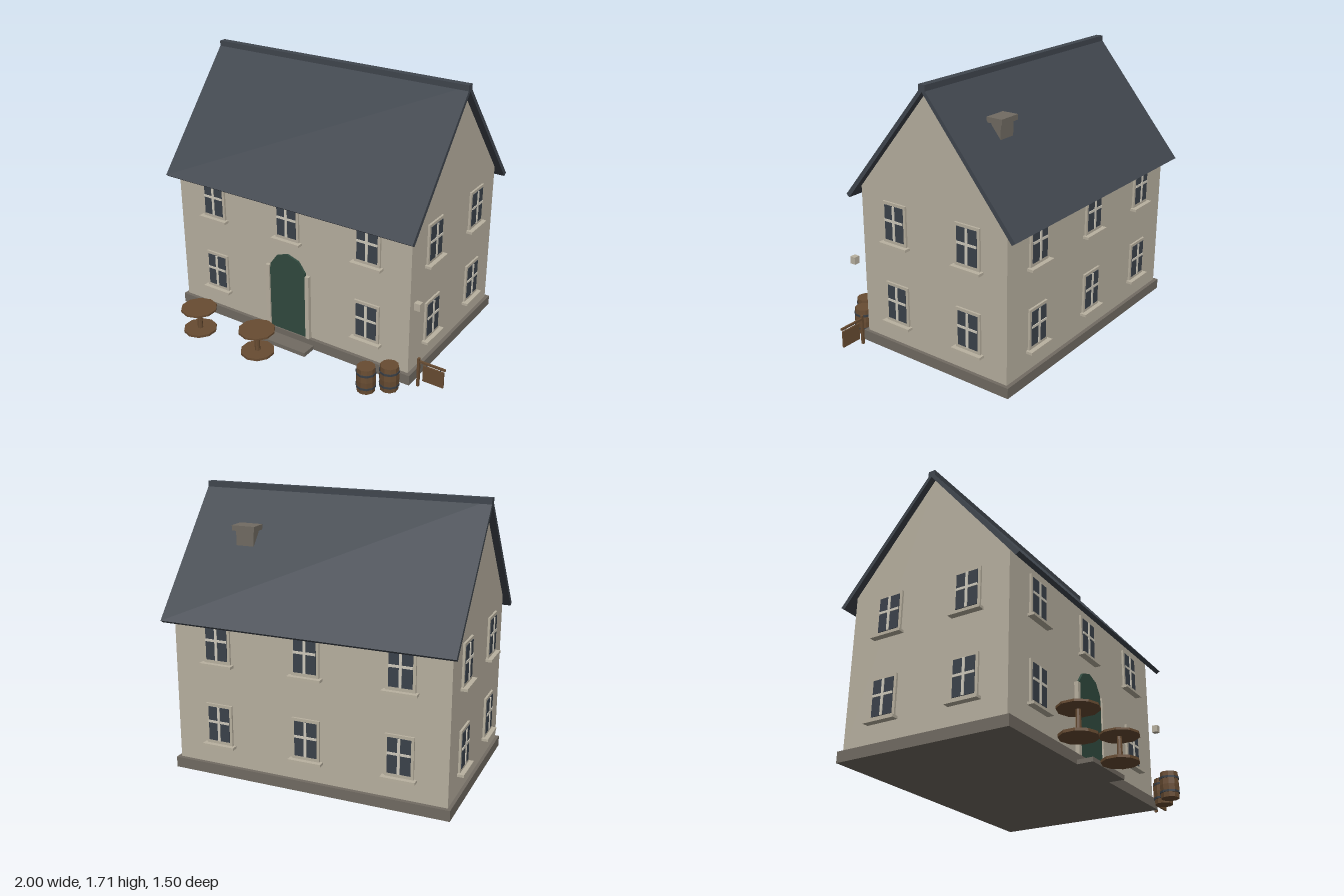
import * as THREE from 'three';

const mat = (name, color) => {
  const m = new THREE.MeshStandardMaterial({ color, flatShading: true });
  m.name = name;
  return m;
};

export function createModel() {
  const plaster = mat('plaster', 0xb8b0a0);
  const trim = mat('trim', 0xb9b1a0);
  const glazingBar = mat('glazingBar', 0xcfcabc);
  const slate = mat('slate', 0x40464e);
  const glass = mat('glass', 0x3b424b);
  const stone = mat('stone', 0x716b62);
  const doorGreen = mat('doorGreen', 0x314a3f);
  const wood = mat('wood', 0x684c32);
  const iron = mat('iron', 0x3a3f45);

  const root = new THREE.Group();
  root.name = 'inn';

  const add = (parent, name, geo, material, x = 0, y = 0, z = 0) => {
    const mesh = new THREE.Mesh(geo, material);
    mesh.name = name;
    mesh.position.set(x, y, z);
    parent.add(mesh);
    return mesh;
  };
  // Box given by its min and max corners
  const box = (parent, name, material, x0, x1, y0, y1, z0, z1) =>
    add(parent, name, new THREE.BoxGeometry(x1 - x0, y1 - y0, z1 - z0), material,
      (x0 + x1) / 2, (y0 + y1) / 2, (z0 + z1) / 2);
  const group = (name, x, y, z) => {
    const g = new THREE.Group();
    g.name = name;
    g.position.set(x, y, z);
    root.add(g);
    return g;
  };
  // Extrude a [z, y] outline along x
  const extrudeX = (points, x0, x1) => {
    const shape = new THREE.Shape(points.map(([z, y]) => new THREE.Vector2(-z, y)));
    return new THREE.ExtrudeGeometry(shape, { depth: x1 - x0, bevelEnabled: false })
      .rotateY(Math.PI / 2).translate(x0, 0, 0);
  };

  // House body
  const midX = -0.1, midZ = -0.132;
  const left = 0.76, right = -0.96, front = 0.402, back = -0.666;
  box(root, 'plinth', stone, -0.98, 0.782, 0, 0.066, -0.69, 0.425);
  add(root, 'walls', extrudeX([
    [front, 0.03], [front, 1.03], [midZ, 1.68], [back, 1.03], [back, 0.03],
  ], right, left), plaster);

  // Roof
  add(root, 'roof', extrudeX([
    [midZ, 1.705], [0.487, 0.962], [0.464, 0.946], [midZ, 1.67],
    [midZ * 2 - 0.464, 0.946], [midZ * 2 - 0.487, 0.962],
  ], -1, 0.805), slate);
  box(root, 'ridgeCap', slate, -1, 0.805, 1.672, 1.712, midZ - 0.023, midZ + 0.023);
  box(root, 'chimney', stone, 0.357, 0.473, 1.3, 1.47, -0.405, -0.34);
  box(root, 'chimneyCap', stone, 0.34, 0.49, 1.468, 1.5, -0.425, -0.32);

  // Windows: built facing +z around the wall surface, then turned to each wall
  const addWindow = (x, z, turn, y) => {
    const w = group('window', x, y, z);
    w.rotation.y = turn;
    box(w, 'windowSurround', trim, -0.087, 0.087, 0, 0.258, -0.01, 0.013);
    box(w, 'windowGlass', glass, -0.07, 0.07, 0.025, 0.24, 0.01, 0.017);
    box(w, 'verticalBar', glazingBar, -0.008, 0.008, 0.025, 0.24, 0.014, 0.022);
    box(w, 'horizontalBar', glazingBar, -0.07, 0.07, 0.139, 0.154, 0.014, 0.021);
    box(w, 'windowSill', trim, -0.104, 0.104, -0.012, 0.004, -0.01, 0.041);
  };
  for (const y of [0.198, 0.712]) {
    for (const dx of [-0.573, 0, 0.573]) {
      if (dx !== 0 || y > 0.5) addWindow(midX + dx, front, 0, y);
      addWindow(midX + dx, back, Math.PI, y);
    }
    for (const dz of [-0.269, 0.269]) {
      addWindow(left, midZ + dz, Math.PI / 2, y);
      addWindow(right, midZ + dz, -Math.PI / 2, y);
    }
  }

  // Arched door with jambs and step
  box(root, 'door', doorGreen, midX - 0.136, midX + 0.136, 0.066, 0.49, 0.39, 0.416);
  const arch = new THREE.CylinderGeometry(0.137, 0.137, 0.026, 10).rotateX(-Math.PI / 2);
  add(root, 'doorArch', arch, doorGreen, midX, 0.476, 0.4035);
  for (const s of [-1, 1]) {
    add(root, 'doorJamb', new THREE.BoxGeometry(0.028, 0.44, 0.04), trim,
      midX + s * 0.15, 0.285, 0.407);
  }
  box(root, 'doorStep', stone, -0.29, 0.095, 0, 0.027, 0.4, 0.524);

  // Round tables
  for (const x of [-0.657, -0.185]) {
    const t = group('table', x, 0, 0.635);
    add(t, 'tableBase', new THREE.CylinderGeometry(0.108, 0.108, 0.016, 10), wood, 0, 0.008, 0);
    add(t, 'tablePost', new THREE.CylinderGeometry(0.014, 0.018, 0.145, 8), wood, 0, 0.085, 0);
    add(t, 'tableTop', new THREE.CylinderGeometry(0.117, 0.117, 0.013, 10), wood, 0, 0.16, 0);
  }

  // Barrels
  const stave = [[0, 0], [0.056, 0], [0.061, 0.081], [0.056, 0.163], [0, 0.163]]
    .map(([r, y]) => new THREE.Vector2(r, y));
  for (const [x, z] of [[0.588, 0.595], [0.695, 0.508]]) {
    const b = group('barrel', x, 0, z);
    add(b, 'barrelBody', new THREE.LatheGeometry(stave, 10), wood);
    for (const y of [0.037, 0.126]) {
      add(b, 'barrelHoop', new THREE.CylinderGeometry(0.062, 0.062, 0.013, 10), iron, 0, y, 0);
    }
  }

  // Hanging sign
  box(root, 'signPost', wood, 0.819, 0.833, 0, 0.193, 0.385, 0.403);
  box(root, 'signArm', wood, 0.822, 1, 0.164, 0.177, 0.387, 0.399);
  box(root, 'signBoard', wood, 0.856, 0.992, 0.046, 0.152, 0.388, 0.398);
  for (const x of [0.88, 0.968]) {
    box(root, 'signHanger', iron, x - 0.002, x + 0.002, 0.15, 0.166, 0.391, 0.395);
  }

  // Lantern by the corner
  box(root, 'lantern', trim, 0.806, 0.844, 0.537, 0.583, 0.407, 0.444);

  return root;
}
